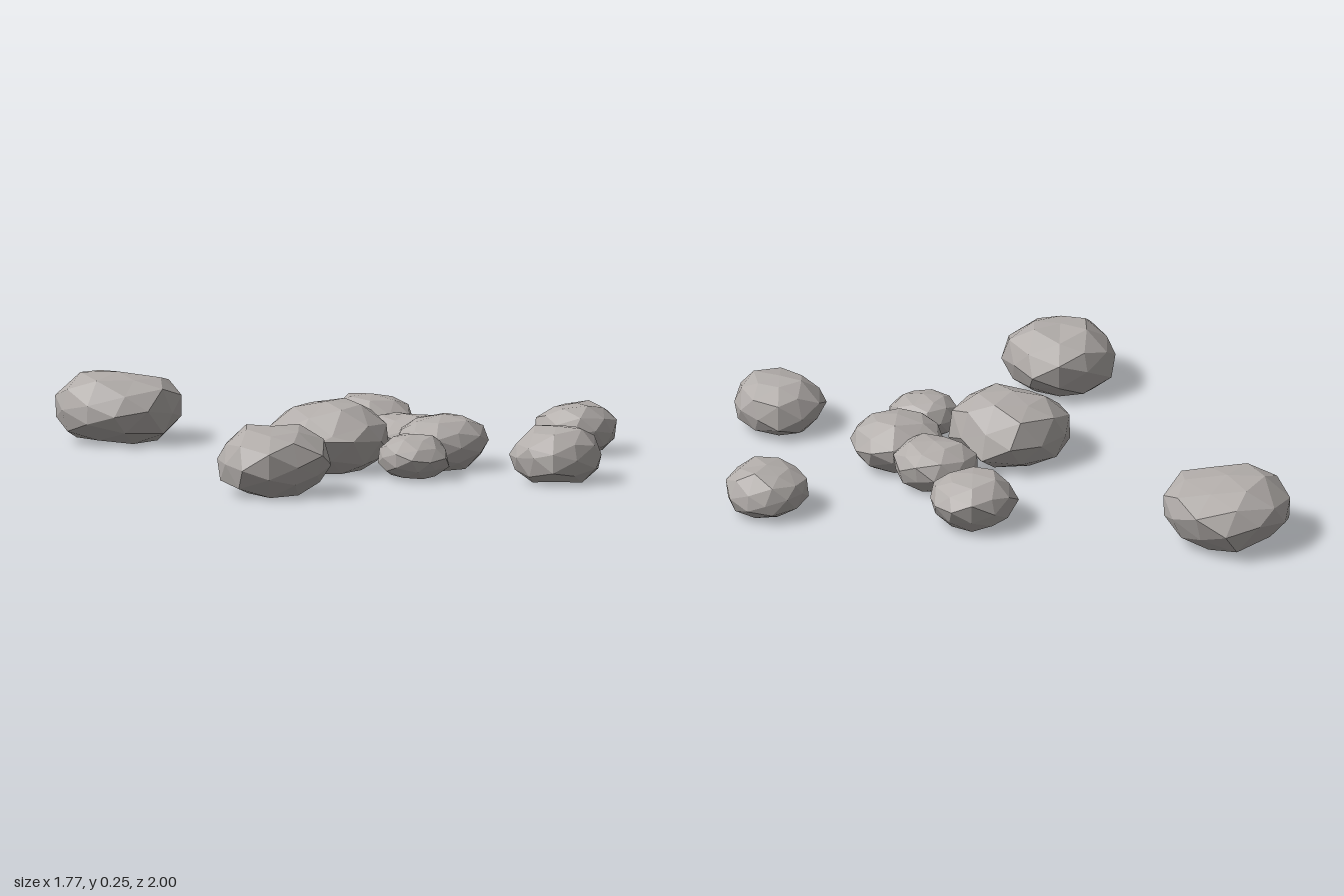
import * as THREE from 'three';

// Centre x and z, width, depth, height, how square the plan is, how far the crown drops to the front left
const STONES = {
  backStone: [-.555, -.775, .45, .45, .245, .05, 0],
  rearStone: [.155, -.205, .31, .31, .19, 0, .1],
  centreRearStone: [.105, .145, .29, .29, .165, .05, 0],
  centreStone: [.13, .365, .34, .29, .19, .08, .1],
  largeStone: [-.26, .225, .42, .41, .245, .14, .25],
  outerStone: [-.7, .64, .38, .38, .24, .18, 0],
  smallStone: [-.075, .535, .25, .25, .155, 0, .1],
  frontStone: [.33, .845, .32, .31, .195, .05, .1],
  sideStone: [.73, .255, .3, .29, .175, 0, 0],
};

const FLOOR = -0.83; // underside cut of the unit stone
const CROWN = 0.9; // top cut of the unit stone

// Repeatable noise in -1..1, equal for corners that share a position
function noise(x, y, z, seed) {
  const q = (v) => Math.round(v * 100);
  const s = Math.sin(q(x) * 12.9898 + q(y) * 78.233 + q(z) * 37.719 + seed * 4.137) * 43758.5453;
  return 2 * (s - Math.floor(s)) - 1;
}

// Faceted stone: a chipped sphere, flattened above and below, resting on the ground
function stoneGeometry([cx, cz, width, depth, height, square, drop], seed) {
  const geo = new THREE.IcosahedronGeometry(1, 1);
  geo.rotateY((seed * Math.PI) / 2);
  const pos = geo.attributes.position;
  for (let i = 0; i < pos.count; i++) {
    const x = pos.getX(i), y = pos.getY(i), z = pos.getZ(i);

    // Chip the corners, but keep the four outermost points in place
    const loose = 1 - Math.max(Math.abs(x), Math.abs(z)) ** 4;
    const chip = 1 + loose * (0.13 * noise(z, x, y, seed) + 0.02);
    const k = chip * (1 + square * Math.abs(x * z));

    // Corners on the crown and underside stay level, the rest vary in height
    const lift = Math.abs(y) < 0.95 ? 0.1 * noise(x, y, z, seed + 9) : 0;
    const slope = y > 0.3 ? drop * Math.max(0, z - x) : 0;
    const level = THREE.MathUtils.clamp(y + lift - slope, FLOOR, CROWN);
    pos.setXYZ(
      i,
      cx + (x * k * width) / 2,
      ((level - FLOOR) / (CROWN - FLOOR)) * height,
      cz + (z * k * depth) / 2,
    );
  }
  geo.computeVertexNormals(); // unshared corners give flat facets
  return geo;
}

export function createModel() {
  const group = new THREE.Group();
  group.name = 'scatteredStones';
  const stone = new THREE.MeshStandardMaterial({ color: 0xb2adaa });
  stone.name = 'stone grey';
  Object.entries(STONES).forEach(([name, spec], i) => {
    const mesh = new THREE.Mesh(stoneGeometry(spec, i + 1), stone);
    mesh.name = name;
    group.add(mesh);
  });
  return group;
}
